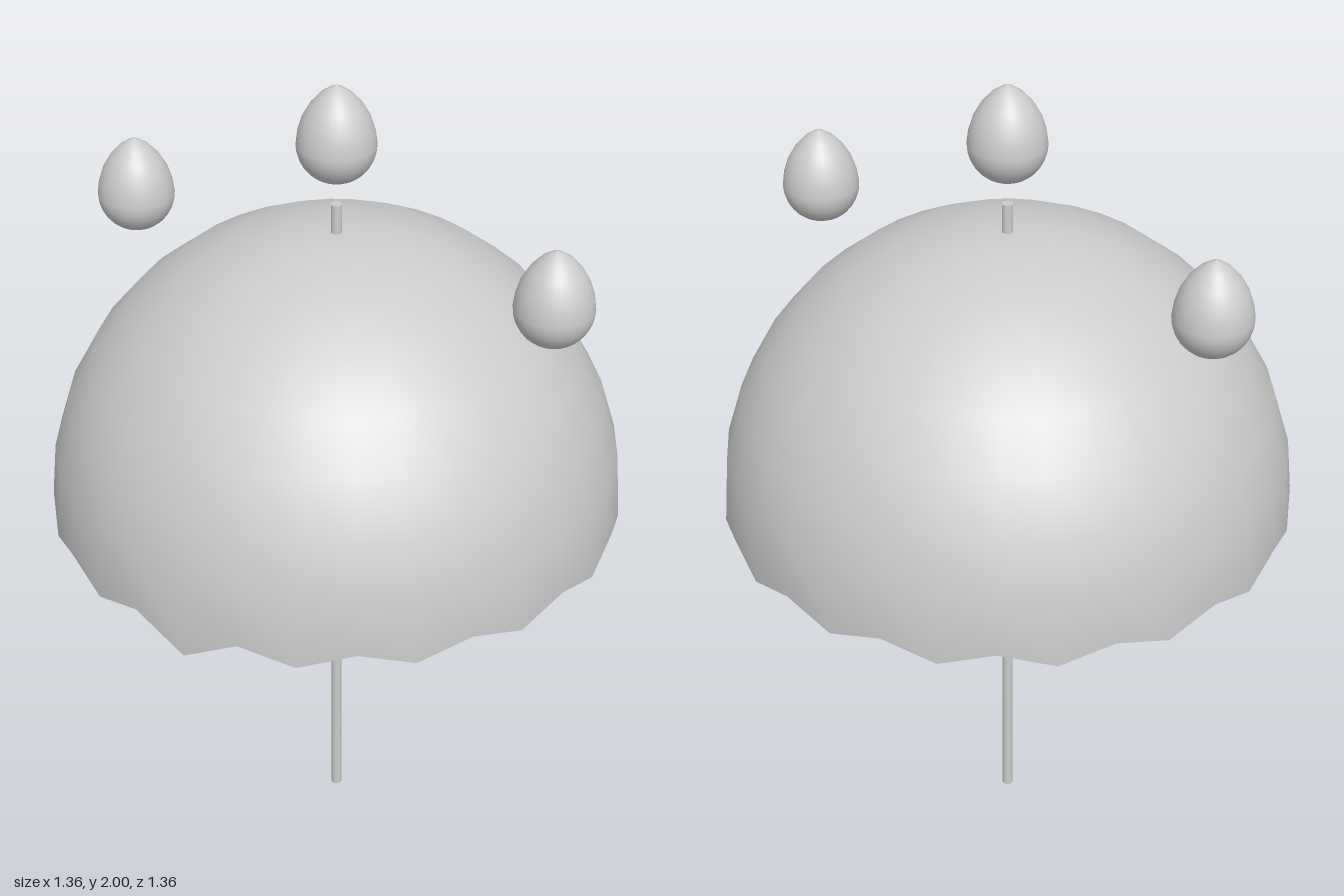
import * as THREE from 'three';

export function createModel() {
  const model = new THREE.Group();
  const grey = new THREE.MeshStandardMaterial({ color: 0xcccccc, side: THREE.DoubleSide });
  grey.name = 'plain grey';

  const add = (name, geometry, x, y) => {
    const mesh = new THREE.Mesh(geometry, grey);
    mesh.name = name;
    mesh.position.set(x, y, 0);
    model.add(mesh);
  };

  // Canopy: open half sphere whose rim zigzags, with one deeper point at the front
  const segments = 32, rings = 8;
  const dome = new THREE.SphereGeometry(0.682, segments, rings, 0, Math.PI * 2, 0, Math.PI / 2);
  const pos = dome.attributes.position;
  for (let i = 0; i <= segments; i++) {
    const v = rings * (segments + 1) + i;
    if (i % 2 === 0) pos.setY(v, i === segments / 4 ? -0.07 : -0.037);
  }
  add('canopy', dome, 0, 0.958);

  // Pole, poking out through the top of the canopy
  add('pole', new THREE.CylinderGeometry(0.013, 0.013, 1.71, 16), 0, 0.855);

  // Raindrops: round below, drawn to a point above
  const profile = [];
  for (let i = 0; i <= 8; i++) {
    const a = (i / 8) * Math.PI / 2;
    profile.push(new THREE.Vector2(0.091 * Math.sin(a), -0.091 * Math.cos(a)));
  }
  [[0.087, 0.03], [0.077, 0.062], [0.06, 0.092], [0.036, 0.119], [0.016, 0.133], [0, 0.14]]
    .forEach(([r, y]) => profile.push(new THREE.Vector2(r, y)));
  const drop = new THREE.LatheGeometry(profile, 32);
  add('topRaindrop', drop, 0, 1.86);
  add('leftRaindrop', drop, 0.547, 1.6);
  add('rightRaindrop', drop, -0.547, 1.6);

  return model;
}
